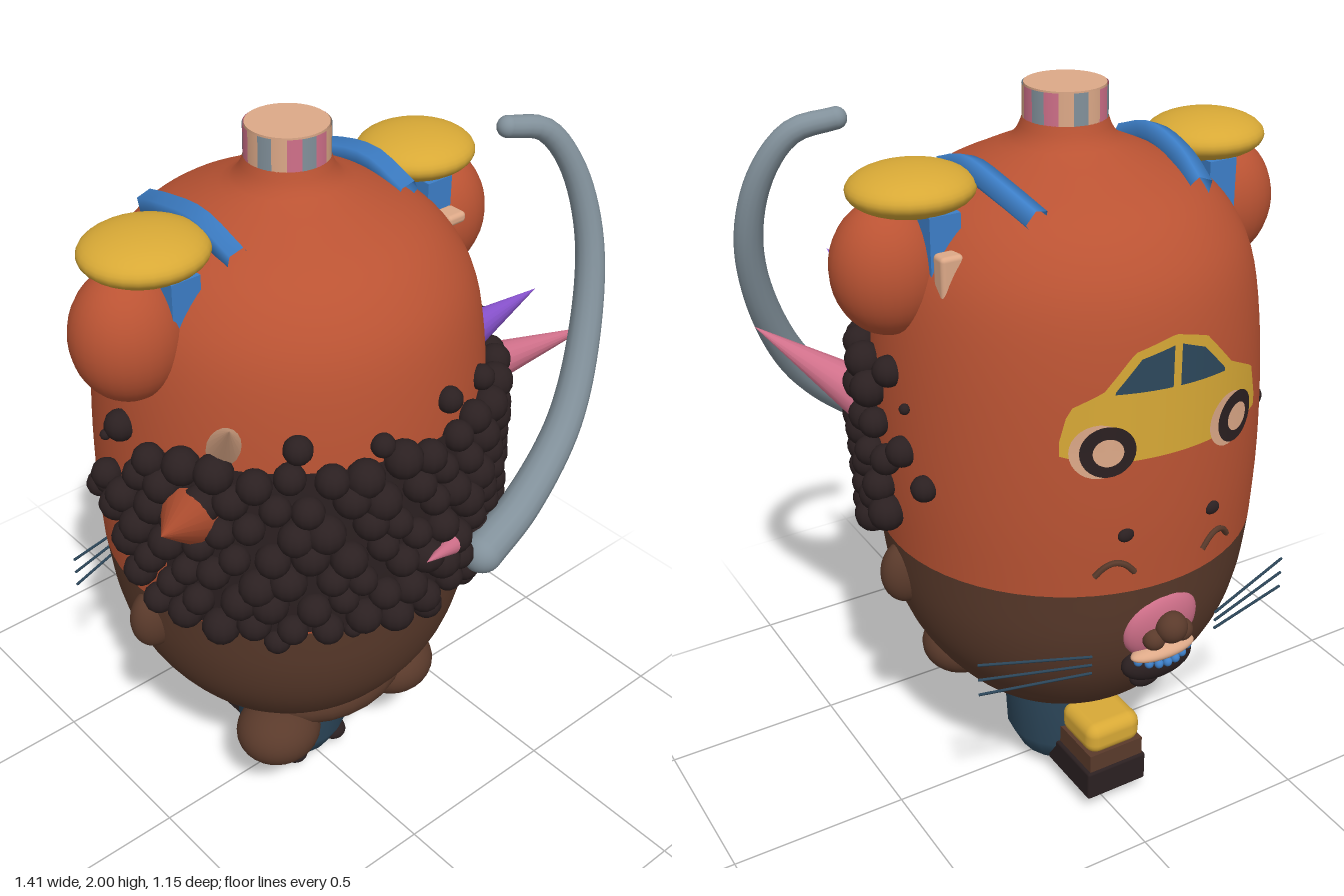
import * as THREE from 'three';
import { mergeGeometries } from 'three/addons/utils/BufferGeometryUtils.js';
import { RoundedBoxGeometry } from 'three/addons/geometries/RoundedBoxGeometry.js';

const CX = -0.02, CZ = -0.03; // body axis
const V = (x, y, z) => new THREE.Vector3(x, y, z);

function mat(name, color, side = THREE.DoubleSide) {
  const m = new THREE.MeshStandardMaterial({ color, side });
  m.name = name;
  return m;
}

// Body profile, as radius and height pairs
const spline = (pts) => new THREE.SplineCurve(pts.map(([r, y]) => new THREE.Vector2(r, y))).getPoints(32);
const lower = spline([[0.16, 0.3], [0.24, 0.345], [0.31, 0.4], [0.39, 0.5], [0.445, 0.6], [0.48, 0.72], [0.5, 0.87]]);
const upper = spline([[0.5, 0.87], [0.508, 1.05], [0.505, 1.25], [0.49, 1.45], [0.46, 1.6], [0.405, 1.7],
  [0.33, 1.77], [0.22, 1.825], [0.13, 1.87], [0.1, 1.93]]);
const profile = [...lower, ...upper];

function radiusAt(y) {
  const i = Math.max(1, profile.findIndex((p) => p.y >= y));
  const a = profile[i - 1], b = profile[i];
  return b.y === a.y ? a.x : THREE.MathUtils.lerp(a.x, b.x, (y - a.y) / (b.y - a.y));
}

// Point on the body: angle 0 is the front, PI the back
function onBody(angle, y, out = 0) {
  const r = radiusAt(y) + out;
  return V(CX + r * Math.sin(angle), y, CZ + r * Math.cos(angle));
}

// Height of a polyline at u
function heightAt(pts, u) {
  for (let i = 1; i < pts.length; i++) {
    if (u <= pts[i][0]) return THREE.MathUtils.mapLinear(u, pts[i - 1][0], pts[i][0], pts[i - 1][1], pts[i][1]);
  }
  return pts[pts.length - 1][1];
}

// Bend a flat shape (x = u, y) round the back of the body
function wrapBack(geo, r) {
  const p = geo.attributes.position;
  for (let i = 0; i < p.count; i++) {
    const a = p.getX(i) / 0.51;
    p.setXYZ(i, CX - r * Math.sin(a), p.getY(i), CZ - r * Math.cos(a));
  }
  geo.computeVertexNormals();
  return geo;
}

// Curved plate between a lower and an upper outline
function plate(lo, hi, r) {
  const g = new THREE.PlaneGeometry(1, 1, 40, 3), p = g.attributes.position;
  const u0 = hi[0][0], u1 = hi[hi.length - 1][0];
  for (let i = 0; i < p.count; i++) {
    const u = THREE.MathUtils.lerp(u0, u1, p.getX(i) + 0.5);
    p.setXY(i, u, THREE.MathUtils.lerp(heightAt(lo, u), heightAt(hi, u), p.getY(i) + 0.5));
  }
  return wrapBack(g, r);
}

// Tube that narrows from r0 to r1
function taperedTube(points, r0, r1, segs = 48, sides = 14) {
  const curve = new THREE.CatmullRomCurve3(points);
  const g = new THREE.TubeGeometry(curve, segs, 1, sides);
  const p = g.attributes.position, v = V(0, 0, 0);
  for (let i = 0; i < p.count; i++) {
    const t = Math.floor(i / (sides + 1)) / segs, c = curve.getPointAt(t);
    v.fromBufferAttribute(p, i).sub(c).multiplyScalar(THREE.MathUtils.lerp(r0, r1, t)).add(c);
    p.setXYZ(i, v.x, v.y, v.z);
  }
  return g;
}

export function createModel() {
  const root = new THREE.Group();
  const orange = mat('orange', 0xba5333), brown = mat('brown', 0x5a3a2b), black = mat('black', 0x2b2021);
  const yellow = mat('yellow', 0xd8a936), grey = mat('grey', 0x82919b), tan = mat('tan', 0xdda988);
  const pink = mat('pink', 0xd0708a), purple = mat('purple', 0x8f57d8), blue = mat('blue', 0x3d7fc8);
  const navy = mat('navy', 0x2d485c);

  const add = (name, geo, m, pos = [0, 0, 0]) => {
    const mesh = new THREE.Mesh(geo, m);
    mesh.name = name;
    mesh.position.set(...pos);
    root.add(mesh);
    return mesh;
  };
  const blob = (name, m, pos, radii) => {
    const mesh = add(name, new THREE.SphereGeometry(1, 28, 20), m, pos);
    mesh.scale.set(...radii);
    return mesh;
  };
  const horn = (name, m, base, tip, r) => {
    const d = tip.clone().sub(base), len = d.length();
    const mesh = add(name, new THREE.ConeGeometry(r, len, 16).translate(0, len / 2, 0), m, base.toArray());
    mesh.quaternion.setFromUnitVectors(V(0, 1, 0), d.normalize());
  };

  // Egg-shaped body in two colours
  add('lowerBody', new THREE.LatheGeometry([new THREE.Vector2(0, 0.3), ...lower], 64), brown, [CX, 0, CZ]);
  add('upperBody', new THREE.LatheGeometry(upper, 64), orange, [CX, 0, CZ]);
  blob('bellyFold', brown, [CX, 0.42, 0.08], [0.27, 0.125, 0.24]);

  // Striped cap
  add('capTop', new THREE.CylinderGeometry(0.1, 0.1, 0.09, 32), tan, [CX, 1.955, CZ]);
  const stripes = [pink, tan, grey, tan, pink, grey];
  for (let i = 0; i < 18; i++) {
    const step = Math.PI / 9;
    add('capStripe', new THREE.CylinderGeometry(0.104, 0.104, 0.08, 3, 1, true, i * step, step),
      stripes[i % 6], [CX, 1.957, CZ]);
  }

  // Arms, epaulettes, straps, ears and feet on both sides
  for (const s of [-1, 1]) {
    const x = (d) => CX + s * d;
    blob('arm', orange, [x(0.48), 1.625, -0.02], [0.14, 0.165, 0.13]);
    blob('epaulette', yellow, [x(0.415), 1.81, -0.03], [0.155, 0.058, 0.147]);
    add('sleeveStrap', new THREE.BoxGeometry(0.08, 0.19, 0.24), blue, [x(0.39), 1.68, -0.03]);
    const strap = new THREE.CatmullRomCurve3([V(x(0.225), 1.77, -0.28), V(x(0.25), 1.81, -0.16),
      V(x(0.26), 1.83, -0.02), V(x(0.26), 1.79, 0.11)]);
    add('shoulderStrap', new THREE.TubeGeometry(strap, 10, 0.033, 5), blue);
    blob('ear', brown, [x(0.47), 0.77, -0.01], [0.07, 0.09, 0.055]);
    blob('foot', brown, [x(0.215), 0.34, 0.18], [0.12, 0.092, 0.112]);
    blob('baseSpot', black, [x(0.075), 0.065, 0.075], [0.04, 0.03, 0.045]);
  }
  add('rearClasp', new RoundedBoxGeometry(0.06, 0.15, 0.05, 2, 0.012), tan, [0.38, 1.62, -0.18]);
  add('frontClasp', new RoundedBoxGeometry(0.06, 0.03, 0.06, 2, 0.012), tan, [0.38, 1.685, 0.12]);

  // Beaded band round the front
  const shell = [];
  for (let i = 0; i <= 12; i++) {
    const y = 0.89 + i * 0.04;
    shell.push(new THREE.Vector2(radiusAt(y) + 0.014, y));
  }
  add('bandShell', new THREE.LatheGeometry(shell, 40, -1.3, 2.6), black, [CX, 0, CZ]);
  const beads = [];
  const bead = (angle, y, r, out = 0.024) => {
    const p = onBody(angle, y, out);
    beads.push(new THREE.SphereGeometry(r, 12, 9).translate(p.x, p.y, p.z));
  };
  for (let row = 0; row < 7; row++) {
    const y0 = 0.915 + row * 0.073, limit = 1.72 - 6 * (y0 - 1.13) ** 2;
    for (let k = -11; k <= 11; k++) {
      const a = (k + (row % 2) / 2) * 0.17 + 0.02 * Math.sin(k * 3.1 + row * 2);
      if (Math.abs(a) < limit) bead(a, y0 + 0.014 * Math.sin(k * 2.3 + row * 1.7), 0.044 + 0.005 * Math.sin(k * 5 + row));
    }
  }
  // Loose beads beyond the edges
  for (const [a, y, r] of [[-0.65, 1.43, 0.036], [-0.25, 1.41, 0.03], [0.16, 1.45, 0.033], [0.5, 1.42, 0.033],
    [-0.75, 0.86, 0.035], [-0.38, 0.88, 0.025], [0.06, 0.86, 0.04], [0.4, 0.845, 0.035], [0.85, 0.87, 0.03]]) bead(a, y, r, 0.01);
  for (const s of [-1, 1]) {
    for (const [a, y, r] of [[1.6, 1.37, 0.04], [1.88, 1.11, 0.034], [1.72, 1.18, 0.04], [1.75, 1.3, 0.014]]) bead(s * a, y, r, 0.008);
  }
  add('bandBeads', mergeGeometries(beads), black);

  // Horns and tusk
  horn('orangeHorn', orange, V(-0.49, 1.22, 0.18), V(-0.7, 1.37, 0.36), 0.075);
  horn('pinkHorn', pink, V(0.47, 1.22, 0.16), V(0.665, 1.37, 0.37), 0.065);
  horn('tanHorn', tan, V(-0.41, 1.39, 0.21), V(-0.5, 1.55, 0.35), 0.05);
  horn('purpleHorn', purple, V(0.38, 1.39, 0.21), V(0.46, 1.55, 0.35), 0.05);
  horn('frontHorn', pink, V(0.04, 1.06, 0.52), V(-0.09, 1.1, 0.565), 0.025);
  const path = [V(0.18, 0.95, 0.5), V(0.33, 1.02, 0.485), V(0.51, 1.18, 0.45), V(0.625, 1.4, 0.39),
    V(0.67, 1.62, 0.33), V(0.64, 1.8, 0.275), V(0.57, 1.9, 0.235), V(0.47, 1.925, 0.205)];
  add('tusk', taperedTube(path, 0.055, 0.027), grey);
  blob('tuskRoot', grey, path[0].toArray(), [0.055, 0.055, 0.055]);
  blob('tuskTip', grey, path[7].toArray(), [0.027, 0.027, 0.027]);

  // Pedestal
  const base = [[0, 0], [0.06, 0.012], [0.125, 0.05], [0.16, 0.12], [0.17, 0.32]].map(([r, y]) => new THREE.Vector2(r, y));
  add('pedestal', new THREE.LatheGeometry(base, 20), navy, [CX, 0, -0.02]);

  // Stepped block behind the pedestal
  add('blockSole', new RoundedBoxGeometry(0.19, 0.09, 0.22, 2, 0.008), black, [CX, 0.095, -0.215]);
  add('blockMiddle', new THREE.BoxGeometry(0.17, 0.06, 0.17), brown, [CX, 0.165, -0.233]);
  add('blockTop', new RoundedBoxGeometry(0.17, 0.095, 0.17, 3, 0.035), yellow, [CX, 0.235, -0.235]);

  // Painted car on the back
  const roof = [[-0.29, 1.31], [-0.27, 1.39], [-0.19, 1.43], [-0.12, 1.52], [-0.02, 1.55], [0.07, 1.525],
    [0.16, 1.43], [0.26, 1.38], [0.29, 1.29]];
  add('carBody', plate([[-0.29, 1.27], [-0.2, 1.245], [0.2, 1.245], [0.29, 1.26]], roof, 0.517), yellow);
  const sill = [[-0.2, 1.425], [0.2, 1.415]];
  add('carRearWindow', plate(sill, [[-0.165, 1.43], [-0.105, 1.505], [-0.025, 1.525]], 0.522), navy);
  add('carFrontWindow', plate(sill, [[-0.005, 1.525], [0.06, 1.5], [0.13, 1.425]], 0.522), navy);
  for (const u of [-0.18, 0.18]) {
    const disc = (name, m, r, du, depth) =>
      add(name, wrapBack(new THREE.CircleGeometry(r, 28).translate(u + du, 1.28, 0), depth), m);
    disc('carWheelArch', tan, 0.07, -0.02, 0.521);
    disc('carTyre', black, 0.066, 0, 0.525);
    disc('carHub', tan, 0.036, 0, 0.529);
  }

  // Face on the back: eyes, brows and whiskers
  for (const s of [-1, 1]) {
    const eye = onBody(Math.PI + s * 0.25, 1.04, 0);
    blob('eye', black, eye.toArray(), [0.022, 0.018, 0.012]);
    const lid = [-1, -0.5, 0, 0.5, 1].map((t) => onBody(Math.PI + s * 0.3 + t * 0.1, 0.965 - 0.035 * t * t, 0.003));
    add('eyelid', new THREE.TubeGeometry(new THREE.CatmullRomCurve3(lid), 16, 0.008, 6), brown);
    for (let i = 0; i < 3; i++) {
      const a = V(CX + s * 0.19, 0.68 - i * 0.025, -0.48), b = V(CX + s * 0.47, 0.71 - i * 0.045, -0.4);
      add('whisker', new THREE.TubeGeometry(new THREE.LineCurve3(a, b), 1, 0.004, 5), navy);
    }
  }

  // Muzzle, nose and mouth
  blob('muzzle', pink, [CX, 0.73, -0.495], [0.11, 0.105, 0.042]).rotation.x = -0.15;
  blob('nose', brown, [CX, 0.745, -0.55], [0.042, 0.042, 0.04]);
  for (const s of [-1, 1]) blob('nostril', brown, [CX + s * 0.042, 0.715, -0.535], [0.03, 0.03, 0.03]);
  blob('lip', tan, [CX, 0.658, -0.515], [0.095, 0.022, 0.035]);
  blob('mouth', black, [CX, 0.615, -0.49], [0.105, 0.055, 0.045]);
  for (let i = -3; i <= 3; i++) {
    blob('tooth', blue, [CX + i * 0.025, 0.632 + 0.0015 * i * i, -0.54 + 0.0025 * i * i], [0.012, 0.013, 0.012]);
  }
  blob('chinSpot', black, [CX, 0.525, -0.44], [0.045, 0.03, 0.025]);

  return root;
}
